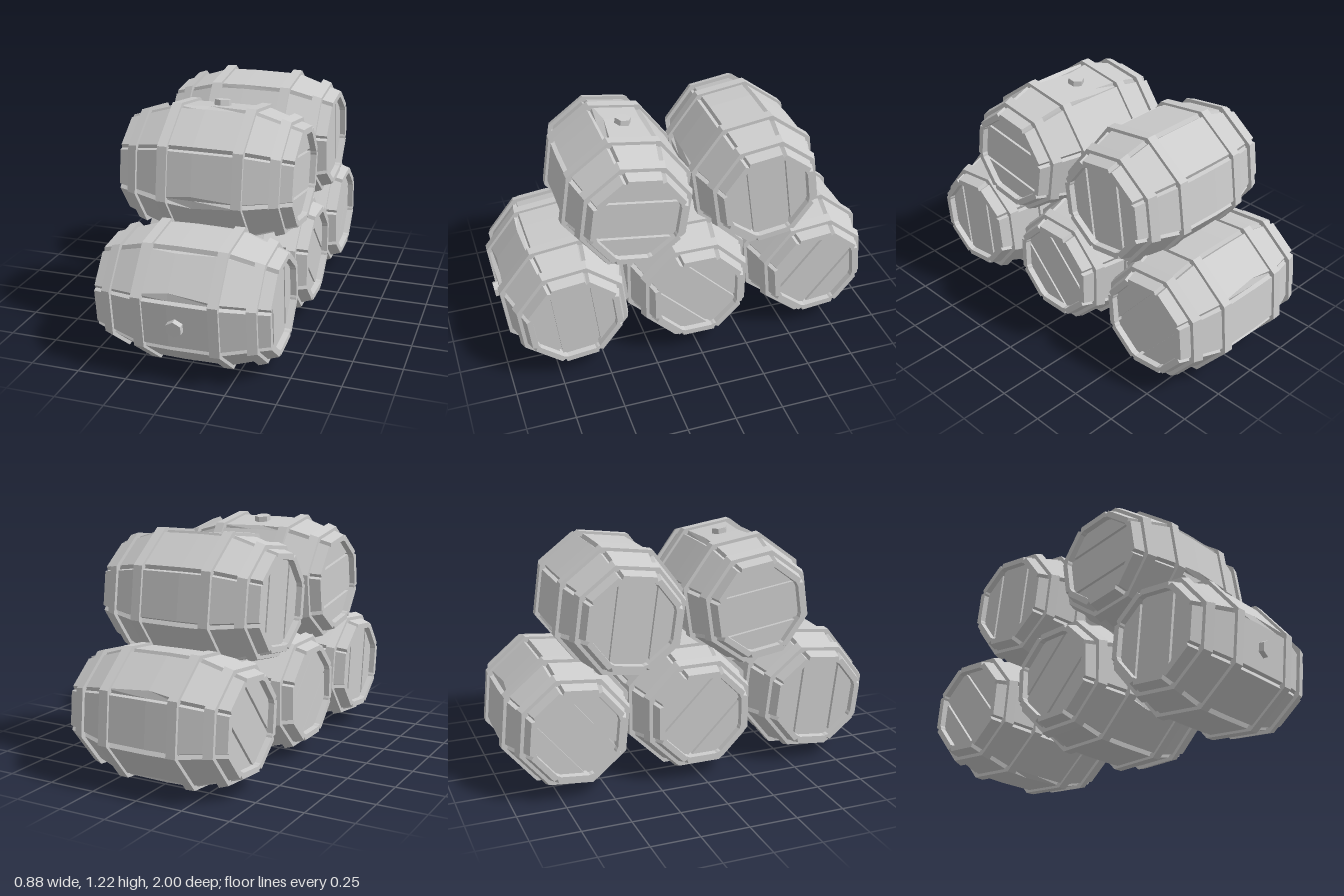
import * as THREE from 'three';

const SIDES = 8, STEP = Math.PI / 4, HALF = Math.PI / 8;
const wood = new THREE.MeshStandardMaterial({ color: 0xcccccc, flatShading: true });

function named(name, geometry) {
  const mesh = new THREE.Mesh(geometry, wood);
  mesh.name = name;
  return mesh;
}

function seeded(seed) {
  return () => (seed = (seed * 16807) % 2147483647) / 2147483647;
}

// Octagonal cross-section with a V groove at each corner: before, bottom, after
function staveLoop(z, radius, groove, depth, wear) {
  const loop = [];
  for (let i = 0; i < SIDES; i++) {
    const a = HALF + i * STEP;
    const corner = new THREE.Vector2(Math.cos(a), Math.sin(a)).multiplyScalar(radius);
    const along = (normalAngle, dir, amount) => new THREE.Vector3(
      corner.x - dir * Math.sin(normalAngle) * amount,
      corner.y + dir * Math.cos(normalAngle) * amount, z);
    const k = (radius - depth) / radius;
    loop.push(along(a - HALF, -1, groove + wear[2 * i]),
      new THREE.Vector3(corner.x * k, corner.y * k, z),
      along(a + HALF, 1, groove + wear[2 * i + 1]));
  }
  return loop;
}

// Staves joined from end lip to end lip, with worn edges at mid-length
function staveGeometry(random) {
  const none = new Array(2 * SIDES).fill(0);
  const worn = none.map(() => (random() < 0.4 ? 0.03 * random() : 0));
  const loops = [
    [-0.39, 0.222, 0.012, 0.006, none], [-0.44, 0.226, 0.012, 0.006, none],
    [-0.44, 0.258, 0.014, 0.022, none], [-0.2, 0.337, 0.016, 0.024, none],
    [-0.04, 0.341, 0.016, 0.024, worn], [0.2, 0.337, 0.016, 0.024, none],
    [0.44, 0.258, 0.014, 0.022, none], [0.44, 0.226, 0.012, 0.006, none],
    [0.39, 0.222, 0.012, 0.006, none],
  ].map((args) => staveLoop(...args));
  const n = SIDES * 3, index = [];
  for (let j = 0; j < loops.length - 1; j++) {
    for (let i = 0; i < n; i++) {
      const a = j * n + i, b = j * n + (i + 1) % n;
      index.push(a, b, b + n, a, b + n, a + n);
    }
  }
  const g = new THREE.BufferGeometry().setFromPoints(loops.flat());
  g.setIndex(index);
  const flat = g.toNonIndexed();
  flat.computeVertexNormals();
  return flat;
}

// Eight-sided hoop between z0 and z1 with an outer radius at each edge
function hoopGeometry(z0, r0, z1, r1, thickness) {
  const profile = [[r0, z0], [r1, z1], [r1 - thickness, z1], [r0 - thickness, z0], [r0, z0]]
    .map(([r, z]) => new THREE.Vector2(r, z));
  return new THREE.LatheGeometry(profile, SIDES, HALF).rotateX(Math.PI / 2);
}

function plankGeometry(points) {
  const shape = new THREE.Shape(points.map(([x, y]) => new THREE.Vector2(x, y)));
  return new THREE.ExtrudeGeometry(shape, { depth: 0.025, bevelEnabled: false }).translate(0, 0, 0.385);
}

// One end of the barrel: three-plank head and two hoops
function barrelEnd() {
  const end = new THREE.Group();
  const a = 0.209, s = a * Math.tan(HALF), w = 0.095, gap = w + 0.014;
  const cut = (t) => a - (t - s);
  end.add(named('headMiddlePlank', plankGeometry([
    [a, -s], [a, s], [cut(w), w], [-cut(w), w], [-a, s], [-a, -s], [-cut(w), -w], [cut(w), -w]])));
  for (const side of [-1, 1]) {
    const plank = named('headSidePlank', plankGeometry([
      [cut(gap), gap], [s, a], [-s, a], [-cut(gap), gap]]));
    plank.rotation.z = side < 0 ? Math.PI : 0;
    end.add(plank);
  }
  const backing = named('headBacking', new THREE.CircleGeometry(0.224, SIDES, HALF));
  backing.position.z = 0.392;
  end.add(backing);
  end.add(named('innerHoop', hoopGeometry(0.165, 0.352, 0.215, 0.35, 0.03)));
  end.add(named('outerHoop', hoopGeometry(0.338, 0.312, 0.384, 0.296, 0.03)));
  return end;
}

function createBarrel(seed) {
  const barrel = new THREE.Group();
  barrel.add(named('staves', staveGeometry(seeded(seed))));
  for (const turn of [0, Math.PI]) {
    const end = barrelEnd();
    end.name = turn ? 'rightEnd' : 'leftEnd';
    end.rotation.y = turn;
    barrel.add(end);
  }
  // Hexagonal stopper on the middle of one stave
  const bung = named('bung', new THREE.CylinderGeometry(0.042, 0.044, 0.05, 6, 1, false, Math.PI / 6));
  bung.position.y = 0.318;
  barrel.add(bung);
  return barrel;
}

export function createModel() {
  const model = new THREE.Group();
  model.name = 'barrelStack';
  // Height, depth and roll in degrees of each barrel
  const places = [
    ['bottomFrontBarrel', 0.337, 0.658, 96.5],
    ['bottomMiddleBarrel', 0.335, 0, -45],
    ['bottomBackBarrel', 0.337, -0.662, 50.5],
    ['topFrontBarrel', 0.873, 0.315, -8.5],
    ['topBackBarrel', 0.873, -0.365, 98],
  ];
  places.forEach(([name, y, z, roll], i) => {
    const barrel = createBarrel(1234567 * (i + 1));
    barrel.name = name;
    barrel.position.set(0, y, z);
    barrel.rotation.set(0, Math.PI / 2, THREE.MathUtils.degToRad(roll));
    model.add(barrel);
  });
  return model;
}
